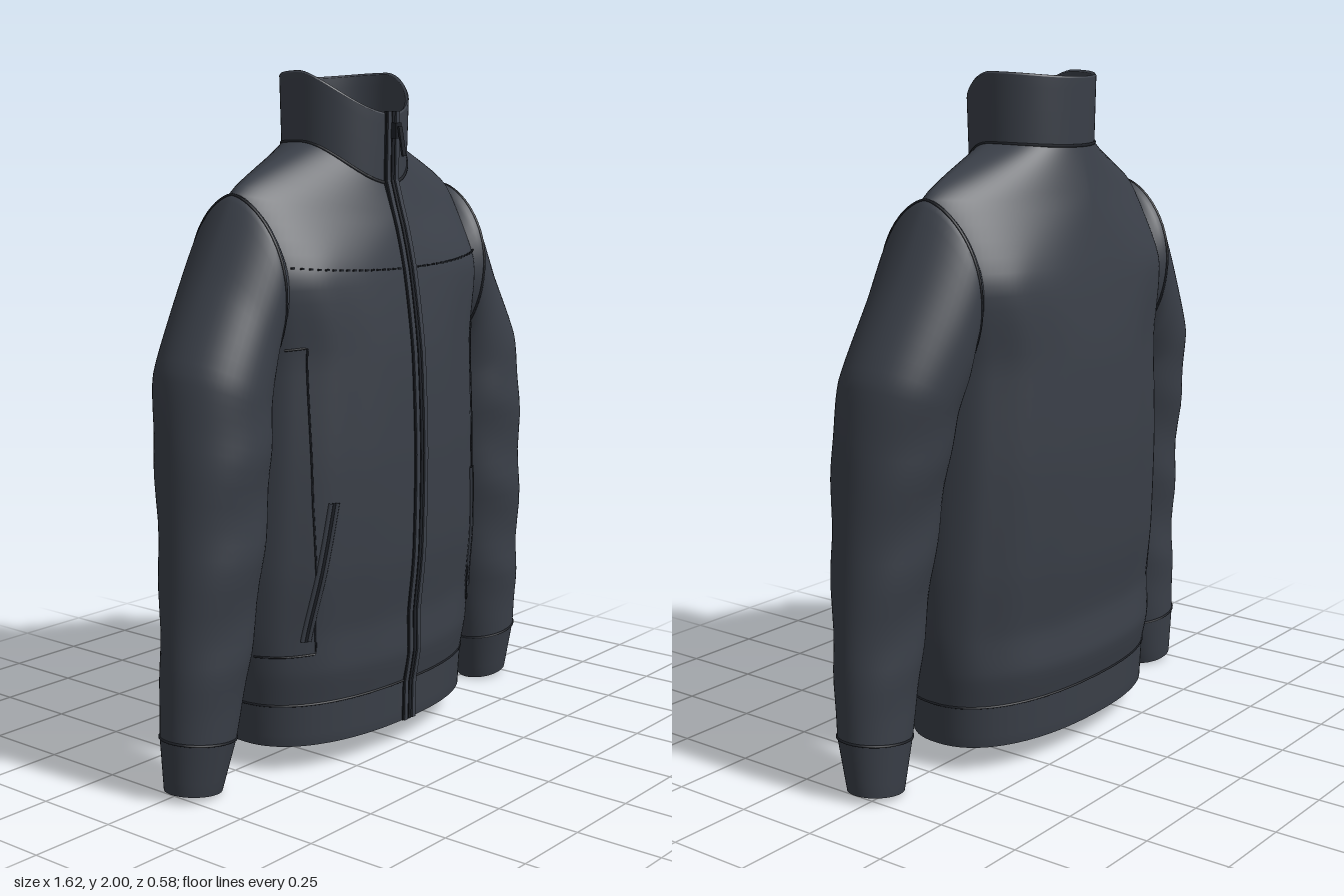
import * as THREE from 'three';

const V = (x, y, z) => new THREE.Vector3(x, y, z);
const mat = (color) => new THREE.MeshStandardMaterial({ color, roughness: 0.85, side: THREE.DoubleSide });
const fabric = mat(0x3a3f48), trim = mat(0x1d2026);
const spow = (v, p) => Math.sign(v) * Math.abs(v) ** p;

// Smooth skin through rings (functions of angle), listed bottom to top
function loft(rings, nU, perRow, { tension = 0.35, start = 0, span = Math.PI * 2, fold } = {}) {
  const closed = span > 6.28, cols = closed ? nU : nU + 1;
  const nV = (rings.length - 1) * perRow, pos = [], idx = [];
  for (let i = 0; i < cols; i++) {
    const a = start + (span * i) / nU;
    const curve = new THREE.CatmullRomCurve3(rings.map((r) => r(a)), false, 'catmullrom', tension);
    for (let j = 0; j <= nV; j++) {
      const p = curve.getPoint(j / nV);
      if (fold) fold(p, a);
      pos.push(p.x, p.y, p.z);
    }
  }
  for (let i = 0; i < nU; i++) for (let j = 0; j < nV; j++) {
    const a = i * (nV + 1) + j, b = ((i + 1) % cols) * (nV + 1) + j;
    idx.push(a, a + 1, b, b, a + 1, b + 1);
  }
  const g = new THREE.BufferGeometry();
  g.setAttribute('position', new THREE.Float32BufferAttribute(pos, 3));
  g.setIndex(idx);
  g.computeVertexNormals();
  return g;
}

// Body ring: height at side / front / back, half width, front depth, back depth, squareness
const bodyRing = ([ys, yf, yb, w, f, b, n]) => (a) => {
  const c = Math.cos(a), s = Math.sin(a);
  return V(w * spow(c, 2 / n), ys + ((s > 0 ? yf : yb) - ys) * s * s, (s > 0 ? f : b) * spow(s, 2 / n));
};
const flat = (y, w, f, b, n = 2.3) => bodyRing([y, y, y, w, f, b, n]);

// Sleeve ring: outer x,y, inner x,y, front z, back z, pointedness of the upper half
const sleeveRing = ([ox, oy, ix, iy, f, b, p = 1]) => (a) => {
  const c = Math.cos(a), s = Math.sin(a), k = (1 + c) / 2;
  const z = (f + b) / 2 + ((f - b) / 2) * spow(s, c > 0 ? p : 1);
  return V(ix + (ox - ix) * k, iy + (oy - iy) * k, z);
};

function add(parent, name, geometry, material = fabric) {
  const m = new THREE.Mesh(geometry, material);
  m.name = name;
  parent.add(m);
  return m;
}
const tube = (pts, r, closed = false, n = 48) =>
  new THREE.TubeGeometry(new THREE.CatmullRomCurve3(pts, closed, 'catmullrom', 0.2), n, r, 6, closed);
const ringPts = (ring, n = 40) => Array.from({ length: n }, (_, i) => ring((i / n) * Math.PI * 2));

export function createModel() {
  const jacket = new THREE.Group();
  jacket.name = 'jacket';

  // Body with soft vertical folds that fade at hem and neck
  const hemTop = flat(0.205, 0.472, 0.25, 0.243);
  const neck = bodyRing([1.8, 1.68, 1.79, 0.2, 0.172, 0.175, 2]);
  const body = add(jacket, 'body', loft([
    hemTop,
    flat(0.3, 0.486, 0.267, 0.262),
    flat(0.42, 0.497, 0.265, 0.25),
    flat(0.6, 0.5, 0.283, 0.27),
    flat(0.9, 0.49, 0.288, 0.284),
    flat(1.2, 0.485, 0.275, 0.276),
    flat(1.43, 0.505, 0.243, 0.25, 2.8),
    bodyRing([1.66, 1.58, 1.64, 0.485, 0.207, 0.212, 1.5]),
    neck,
  ], 112, 6, {
    fold: (p, a) => {
      const fade = THREE.MathUtils.smoothstep(p.y, 0.2, 0.5) * (1 - THREE.MathUtils.smoothstep(p.y, 1.2, 1.6));
      p.z *= 1 + fade * 0.02 * Math.sin(a * 14 + p.y * 1.5) * Math.abs(Math.cos(a));
    },
  }));

  // Hem band and its seam
  add(jacket, 'hemBand', loft([flat(0.08, 0.45, 0.235, 0.23), flat(0.08, 0.461, 0.247, 0.24), hemTop], 80, 3, { tension: 0 }));
  add(jacket, 'hemSeam', tube(ringPts(hemTop), 0.004, true, 120), trim);

  // Standing collar, doubled over and open at the front
  const collarTop = (w, f, b, dy) => (a) => {
    const s = Math.sin(a);
    return V(w * Math.cos(a), 2 - dy - (s > 0 ? 0.12 * s ** 1.6 : 0.015 * s * s), (s > 0 ? f : b) * s);
  };
  const gap = 0.07;
  add(jacket, 'collar', loft([
    neck,
    collarTop(0.207, 0.176, 0.178, 0.006),
    collarTop(0.203, 0.172, 0.174, 0),
    collarTop(0.196, 0.165, 0.167, 0.006),
    bodyRing([1.79, 1.67, 1.78, 0.19, 0.162, 0.165, 2]),
  ], 80, 4, { tension: 0, start: Math.PI / 2 + gap, span: Math.PI * 2 - gap * 2 }));
  add(jacket, 'collarSeam', tube(ringPts(neck), 0.005, true, 100), trim);

  // Point on the front of the body
  jacket.updateMatrixWorld(true);
  const ray = new THREE.Raycaster();
  const onFront = (x, y, lift = 0.003) => {
    ray.set(V(x, y, 1), V(0, 0, -1));
    const hit = ray.intersectObject(body)[0];
    return hit ? V(x, y, hit.point.z + lift) : null;
  };
  const line = (pts, n = 24) => {
    const out = [];
    for (let k = 0; k < pts.length - 1; k++) for (let i = 0; i <= n; i++) {
      if (k && !i) continue;
      const t = i / n, [x0, y0] = pts[k], [x1, y1] = pts[k + 1];
      const p = onFront(x0 + (x1 - x0) * t, y0 + (y1 - y0) * t);
      if (p) out.push(p);
    }
    return out;
  };

  // Zip: swept strips following the front profile from hem to collar
  const profile = [[0.248, 0.08], [0.25, 0.2]];
  for (let y = 0.24; y < 1.67; y += 0.06) profile.push([onFront(0, y, 0).z, y]);
  profile.push([0.174, 1.69], [0.177, 1.885]);
  const strip = (x, width, lift) => {
    const s = new THREE.Shape([
      ...profile.map(([z, y]) => new THREE.Vector2(z + lift, y)),
      ...profile.map(([z, y]) => new THREE.Vector2(z - 0.006, y)).reverse(),
    ]);
    return new THREE.ExtrudeGeometry(s, { depth: width, bevelEnabled: false }).rotateY(-Math.PI / 2).translate(x + width / 2, 0, 0);
  };
  const zip = new THREE.Group();
  zip.name = 'zip';
  jacket.add(zip);
  for (const x of [-0.019, 0.019]) add(zip, 'zipTape', strip(x, 0.016, 0.007));
  add(zip, 'zipTeeth', strip(0, 0.012, 0.006), trim);
  for (const x of [-0.028, 0.028]) add(zip, 'zipSeam', strip(x, 0.004, 0.003), trim);
  add(zip, 'zipSlider', new THREE.BoxGeometry(0.026, 0.045, 0.022), trim).position.set(0, 1.83, 0.19);
  const pull = add(zip, 'zipPull', new THREE.BoxGeometry(0.016, 0.085, 0.006), trim);
  pull.position.set(0, 1.8, 0.212);
  pull.rotation.x = -0.18;

  // Dashed yoke stitching across the chest
  const stitches = new THREE.Group();
  stitches.name = 'yokeStitching';
  jacket.add(stitches);
  for (let i = -21; i <= 21; i++) {
    const x = i * 0.0235, p = onFront(x, 1.44 + 0.12 * x * x, 0.001);
    if (!p || Math.abs(x) < 0.035) continue;
    add(stitches, 'stitch', new THREE.BoxGeometry(0.014, 0.005, 0.005), trim).position.copy(p);
  }

  // One side: sleeve, cuff, side panel seams and pocket
  const side = new THREE.Group();
  side.name = 'leftSide';
  const cuffTop = sleeveRing([0.805, 0.185, 0.573, 0.155, 0.135, -0.06]);
  const armhole = sleeveRing([0.487, 1.66, 0.45, 1.15, 0.18, -0.18, 1.3]);
  add(side, 'sleeve', loft([
    cuffTop,
    sleeveRing([0.803, 0.4, 0.52, 0.4, 0.155, -0.066]),
    sleeveRing([0.79, 0.7, 0.475, 0.68, 0.178, -0.09]),
    sleeveRing([0.775, 1.0, 0.445, 0.92, 0.188, -0.125]),
    sleeveRing([0.743, 1.2, 0.44, 1.05, 0.188, -0.155]),
    sleeveRing([0.612, 1.44, 0.44, 1.11, 0.18, -0.175, 1.1]),
    armhole,
    sleeveRing([0.43, 1.6, 0.4, 1.2, 0.15, -0.15, 1.3]),
  ], 56, 6, {
    tension: 0.3,
    fold: (p, a) => {
      const k = THREE.MathUtils.smoothstep(p.y, 0.2, 0.4) * (1 - THREE.MathUtils.smoothstep(p.y, 0.9, 1.2));
      p.z += k * 0.006 * Math.sin(p.y * 22 + p.x * 9) * Math.sin(a);
    },
  }));
  add(side, 'armholeSeam', tube(ringPts(armhole), 0.004, true, 80), trim);
  add(side, 'cuff', loft([
    sleeveRing([0.782, 0.032, 0.622, 0.012, 0.095, -0.04]),
    sleeveRing([0.79, 0.028, 0.613, 0.004, 0.102, -0.048]),
    cuffTop,
  ], 48, 3, { tension: 0 }));
  add(side, 'cuffSeam', tube(ringPts(cuffTop), 0.004, true, 64), trim);
  add(side, 'sidePanelSeam', tube(line([[0.44, 1.235], [0.39, 1.24], [0.385, 0.8], [0.368, 0.36], [0.485, 0.355]]), 0.003, false, 100), trim);
  const pocket = line([[0.333, 0.8], [0.395, 0.4]]);
  add(side, 'pocketOpening', tube(pocket, 0.006), trim);
  for (const dx of [-0.009, 0.009])
    add(side, 'pocketWelt', tube(pocket.map((p) => p.clone().add(V(dx, 0, -dx * 0.5))), 0.007));

  const mirrored = side.clone();
  mirrored.name = 'rightSide';
  mirrored.scale.x = -1;
  jacket.add(side, mirrored);
  return jacket;
}
